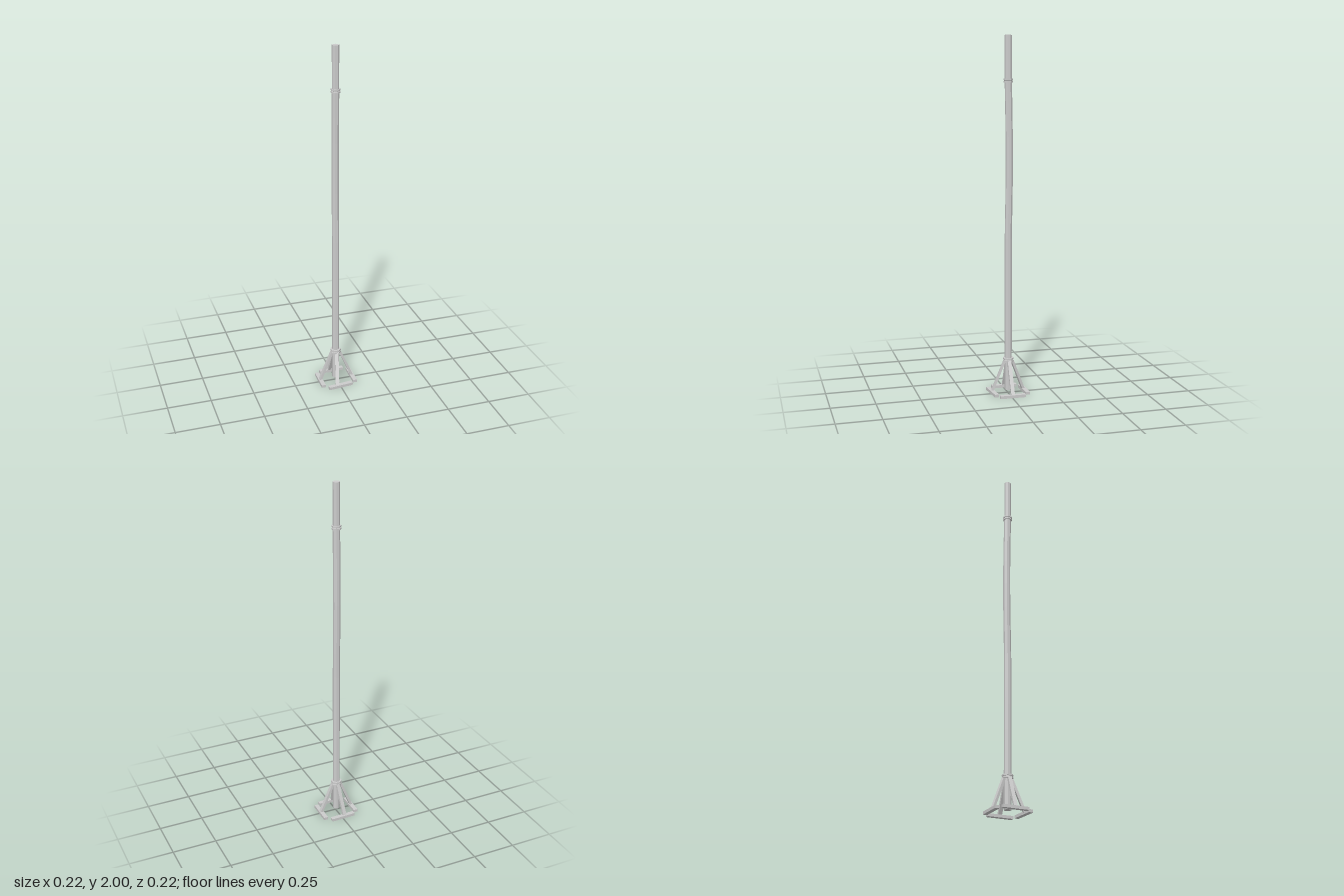
import * as THREE from 'three';

const CX = -0.003, CZ = -0.004;

export function createModel() {
  const group = new THREE.Group();
  const mat = new THREE.MeshStandardMaterial({ color: 0xcccccc, flatShading: true, side: THREE.DoubleSide });
  const add = (name, geo) => {
    const mesh = new THREE.Mesh(geo, mat);
    mesh.name = name;
    group.add(mesh);
    return mesh;
  };

  // Octagonal shaft with a slight bow towards the back
  const bottom = 0.018, top = 1.755;
  const shaft = new THREE.CylinderGeometry(0.02, 0.02, top - bottom, 8, 12);
  shaft.rotateY(Math.PI / 8);
  shaft.translate(CX, (top + bottom) / 2, CZ);
  const p = shaft.attributes.position;
  for (let i = 0; i < p.count; i++) {
    const d = (p.getY(i) - 1.33) / 0.4;
    p.setZ(i, p.getZ(i) - 0.006 * Math.max(0, 1 - d * d));
  }
  add('shaft', shaft);

  // Straight upper section
  const tip = new THREE.CylinderGeometry(0.0195, 0.0195, 0.25, 8);
  tip.rotateY(Math.PI / 8);
  add('topSection', tip).position.set(CX, 1.875, CZ);

  // Collars: two bands with a groove between
  const collar = (name, y, r, h) => {
    const profile = [[0.017, -h], [r, -h], [r, -h * 0.25], [r - 0.003, -h * 0.15],
      [r - 0.003, h * 0.15], [r, h * 0.25], [r, h], [0.017, h]];
    const geo = new THREE.LatheGeometry(profile.map(q => new THREE.Vector2(...q)), 8);
    geo.rotateY(Math.PI / 8);
    add(name, geo).position.set(CX, y, CZ);
  };
  collar('lowerCollar', 0.194, 0.031, 0.011);
  collar('upperCollar', 1.756, 0.026, 0.011);

  // Foot planks: x, z, turn about y
  const feet = [
    ['leftFoot', 0.095, -0.004, Math.PI / 2 - 0.015],
    ['rightFoot', -0.097, -0.004, Math.PI / 2 - 0.015],
    ['backFoot', -0.002, -0.096, 0.03],
    ['frontFoot', -0.002, 0.088, 0.105],
  ];
  for (const [name, x, z, turn] of feet) {
    const foot = add(name, new THREE.BoxGeometry(0.145, 0.016, 0.024));
    foot.position.set(x, 0.008, z);
    foot.rotation.y = turn;
  }

  // Sloping braces from the lower collar down to the planks
  const braces = [
    ['leftBrace', [0.018, 0.19, -0.004], [0.096, 0.012, -0.004]],
    ['rightBrace', [-0.024, 0.19, -0.004], [-0.098, 0.012, -0.004]],
    ['backBrace', [-0.002, 0.19, -0.024], [-0.014, 0.012, -0.093]],
    ['frontBrace', [-0.003, 0.19, 0.016], [-0.02, 0.012, 0.085]],
  ];
  for (const [name, a, b] of braces) {
    const from = new THREE.Vector3(...a), to = new THREE.Vector3(...b);
    const brace = add(name, new THREE.BoxGeometry(0.021, 0.014, from.distanceTo(to)));
    brace.position.copy(from).add(to).multiplyScalar(0.5);
    brace.lookAt(to);
  }
  return group;
}
